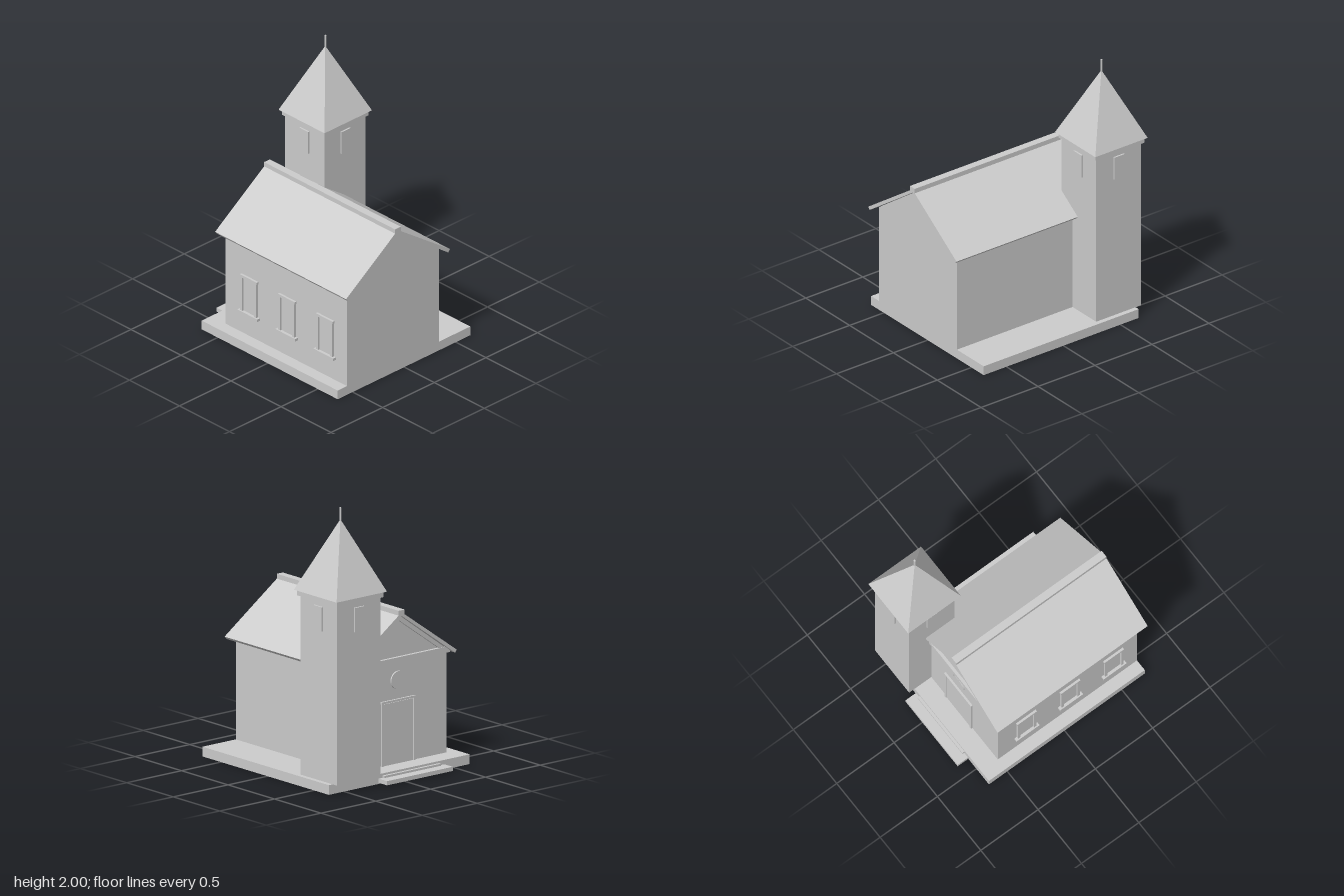
import * as THREE from 'three';

export function createModel() {
  const model = new THREE.Group();
  model.name = 'chapel';
  const stone = new THREE.MeshStandardMaterial({ color: 0xcccccc, flatShading: true });
  stone.name = 'pale grey';

  const add = (name, geometry, parent = model) => {
    const mesh = new THREE.Mesh(geometry, stone);
    mesh.name = name;
    parent.add(mesh);
    return mesh;
  };
  // Box given by its extents on each axis
  const box = (name, x0, x1, y0, y1, z0, z1, parent) => {
    const mesh = add(name, new THREE.BoxGeometry(x1 - x0, y1 - y0, z1 - z0), parent);
    mesh.position.set((x0 + x1) / 2, (y0 + y1) / 2, (z0 + z1) / 2);
    return mesh;
  };
  // Outline in x, y carried from z0 to z1
  const prism = (name, points, z0, z1) => {
    const shape = new THREE.Shape(points.map(([x, y]) => new THREE.Vector2(x, y)));
    const geometry = new THREE.ExtrudeGeometry(shape, { depth: z1 - z0, bevelEnabled: false });
    geometry.translate(0, 0, z0);
    return add(name, geometry);
  };

  const mid = -0.11; // centre line of the nave
  const back = -0.515;

  // Ground slab and entrance steps
  box('baseSlab', -0.645, 0.64, 0, 0.07, -0.66, 0.70);
  box('lowerStep', -0.41, 0.19, 0.01, 0.04, -0.755, -0.665);
  box('upperStep', -0.365, 0.15, 0.025, 0.055, -0.68, -0.65);

  // Nave with gabled ends
  prism('nave', [[-0.555, 0.07], [0.335, 0.07], [0.335, 0.815], [mid, 1.135], [-0.555, 0.815]], back, 0.70);

  // Roof and ridge cap
  prism('roof', [
    [-0.612, 0.81], [-0.597, 0.79], [mid, 1.138], [0.377, 0.79], [0.395, 0.81], [mid, 1.165],
  ], -0.56, 0.75);
  box('ridgeCap', -0.137, -0.082, 1.145, 1.18, -0.56, 0.75);

  // Pediment on the entrance end: horizontal moulding and raking trim
  box('pedimentMoulding', -0.572, 0.352, 0.795, 0.838, -0.537, -0.49);
  prism('rakingTrim', [
    [-0.555, 0.815], [-0.51, 0.815], [mid, 1.10], [0.29, 0.815], [0.335, 0.815], [mid, 1.138],
  ], -0.533, back);

  // Door with surround
  box('door', mid - 0.14, mid + 0.14, 0.07, 0.515, -0.521, back);
  for (const s of [-1, 1]) {
    const x = mid + s * 0.145;
    box('doorJamb', x - 0.007, x + 0.007, 0.07, 0.52, -0.527, back);
  }
  box('doorLintel', mid - 0.155, mid + 0.155, 0.52, 0.535, -0.53, back);

  // Round window above the door
  const rose = add('roundWindow', new THREE.CylinderGeometry(0.065, 0.065, 0.015, 32));
  rose.rotation.x = Math.PI / 2;
  rose.position.set(mid, 0.67, -0.518);

  // Side windows
  for (const z of [-0.27, 0.11, 0.49]) {
    const win = new THREE.Group();
    win.name = 'sideWindow';
    model.add(win);
    box('windowPane', -0.56, -0.555, 0.255, 0.525, z - 0.07, z + 0.07, win);
    for (const s of [-1, 1]) {
      box('windowJamb', -0.572, -0.555, 0.255, 0.525, z + s * 0.07 - 0.01, z + s * 0.07 + 0.01, win);
    }
    box('windowLintel', -0.572, -0.555, 0.52, 0.54, z - 0.085, z + 0.085, win);
    box('windowSill', -0.582, -0.555, 0.235, 0.255, z - 0.1, z + 0.1, win);
  }

  // Bell tower
  const tower = new THREE.Group();
  tower.name = 'tower';
  tower.position.set(0.408, 0, -0.511);
  model.add(tower);
  box('towerShaft', -0.197, 0.197, 0.07, 1.36, -0.197, 0.197, tower);
  box('towerCornice', -0.213, 0.213, 1.36, 1.40, -0.213, 0.213, tower);
  for (let i = 0; i < 4; i++) {
    const side = new THREE.Group();
    side.name = 'belfrySide';
    side.rotation.y = i * Math.PI / 2;
    tower.add(side);
    box('belfryWindow', -0.045, 0.045, 1.15, 1.325, 0.197, 0.209, side);
  }
  const spire = add('spire', new THREE.ConeGeometry(0.23 * Math.SQRT2, 0.515, 4), tower);
  spire.rotation.y = Math.PI / 4;
  spire.position.y = 1.40 + 0.515 / 2;
  const finial = add('finial', new THREE.CylinderGeometry(0.007, 0.007, 0.12, 8), tower);
  finial.position.y = 1.94;

  return model;
}
